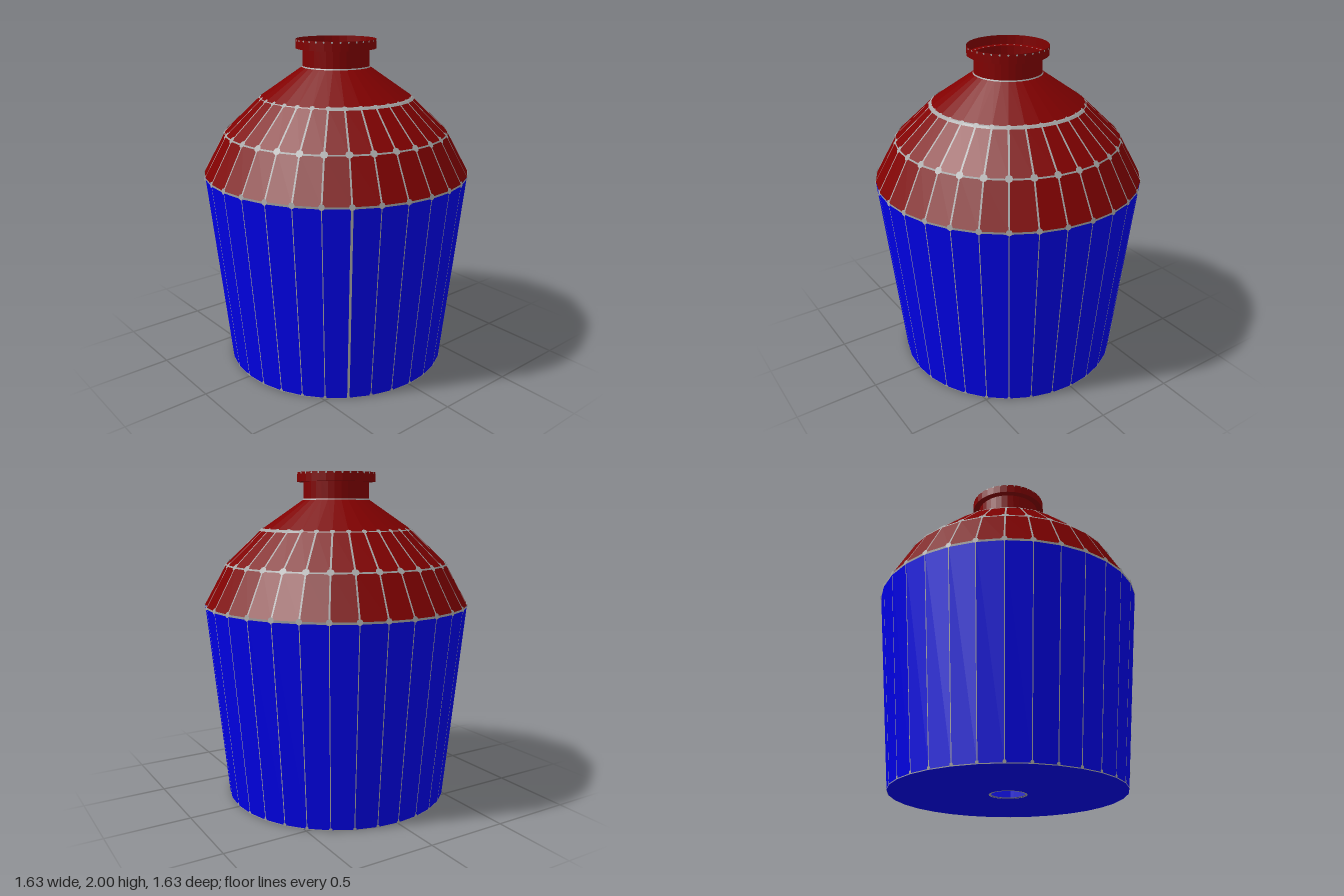
import * as THREE from 'three';

const SIDES = 32;
const STEP = (Math.PI * 2) / SIDES;

export function createModel() {
  const model = new THREE.Group();
  model.name = 'bottle';

  function paint(name, color) {
    const material = new THREE.MeshStandardMaterial({ color, flatShading: true, side: THREE.DoubleSide });
    material.name = name;
    return material;
  }
  const blue = paint('blue body', 0x0000e6);
  const red = paint('dark red shoulder', 0x800000);
  const grey = paint('grey seams', 0xa6a6a6);

  // Thin faceted shell turned from [radius, height] pairs, over some or all panels
  function shell(name, pairs, material, first = 0, count = SIDES) {
    const points = pairs.map(([r, y]) => new THREE.Vector2(r, y));
    const geometry = new THREE.LatheGeometry(points, count, first * STEP, count * STEP);
    const mesh = new THREE.Mesh(geometry, material);
    mesh.name = name;
    model.add(mesh);
  }
  shell('body', [[0.1, 0], [0.69, 0], [0.81, 1.21]], blue);
  shell('shoulder', [[0.81, 1.21], [0.675, 1.455], [0.46, 1.66], [0.2, 1.84]], red);
  shell('neck', [[0.2, 1.84], [0.2, 1.945]], red);
  shell('lip', [[0.2, 1.945], [0.24, 1.945], [0.24, 2]], red);

  // Horizontal seams, laid just over the panels
  shell('holeSeamInside', [[0.1, 0.004], [0.118, 0.004]], grey);
  shell('holeSeamUnder', [[0.1, -0.002], [0.112, -0.002]], grey);
  shell('baseSeam', [[0.692, 0], [0.6925, 0.005]], grey);
  shell('waistSeam', [[0.811, 1.199], [0.8125, 1.212]], grey);
  shell('lowerShoulderSeam', [[0.6815, 1.448], [0.677, 1.457]], grey);
  shell('upperShoulderSeam', [[0.471, 1.652], [0.461, 1.663], [0.4535, 1.667]], grey, 4, 15);
  shell('upperShoulderThinSeam', [[0.465, 1.658], [0.461, 1.663]], grey, 19, 17);
  shell('neckSeam', [[0.207, 1.837], [0.203, 1.844]], grey);

  // Flat strip up a panel edge
  function rib(r0, y0, r1, y1, width) {
    const lean = Math.atan2(r1 - r0, y1 - y0);
    return new THREE.PlaneGeometry(width, Math.hypot(r1 - r0, y1 - y0))
      .translate(0, 0, 0.002)
      .rotateX(lean)
      .translate(0, (y0 + y1) / 2, (r0 + r1) / 2);
  }
  // Flat dot where seams meet, its face tilted up by some degrees
  function dot(r, y, size, tilt) {
    return new THREE.CircleGeometry(size, 8)
      .translate(0, 0, 0.003)
      .rotateX(-THREE.MathUtils.degToRad(tilt))
      .translate(0, y, r);
  }

  const shoulderRibs = [rib(0.81, 1.21, 0.675, 1.455, 0.01), rib(0.675, 1.455, 0.46, 1.66, 0.011)];
  const bodyRib = rib(0.69, 0, 0.81, 1.21, 0.005);
  const wideBodyRib = rib(0.69, 0, 0.81, 1.21, 0.014);
  const dots = [
    dot(0.691, 0.01, 0.01, -6), dot(0.81, 1.21, 0.018, 10), dot(0.675, 1.455, 0.022, 37),
    dot(0.46, 1.66, 0.016, 50), dot(0.24, 1.994, 0.006, 0), dot(0.206, 1.945, 0.006, 90),
  ];

  for (let i = 0; i < SIDES; i++) {
    const spoke = new THREE.Group();
    spoke.name = 'uprightSeam';
    spoke.rotation.y = i * STEP;
    const ribs = [...shoulderRibs, i === 5 ? wideBodyRib : bodyRib];
    for (const [name, parts] of [['rib', ribs], ['dot', dots]]) {
      for (const geometry of parts) {
        const mesh = new THREE.Mesh(geometry, grey);
        mesh.name = name;
        spoke.add(mesh);
      }
    }
    model.add(spoke);
  }
  return model;
}
